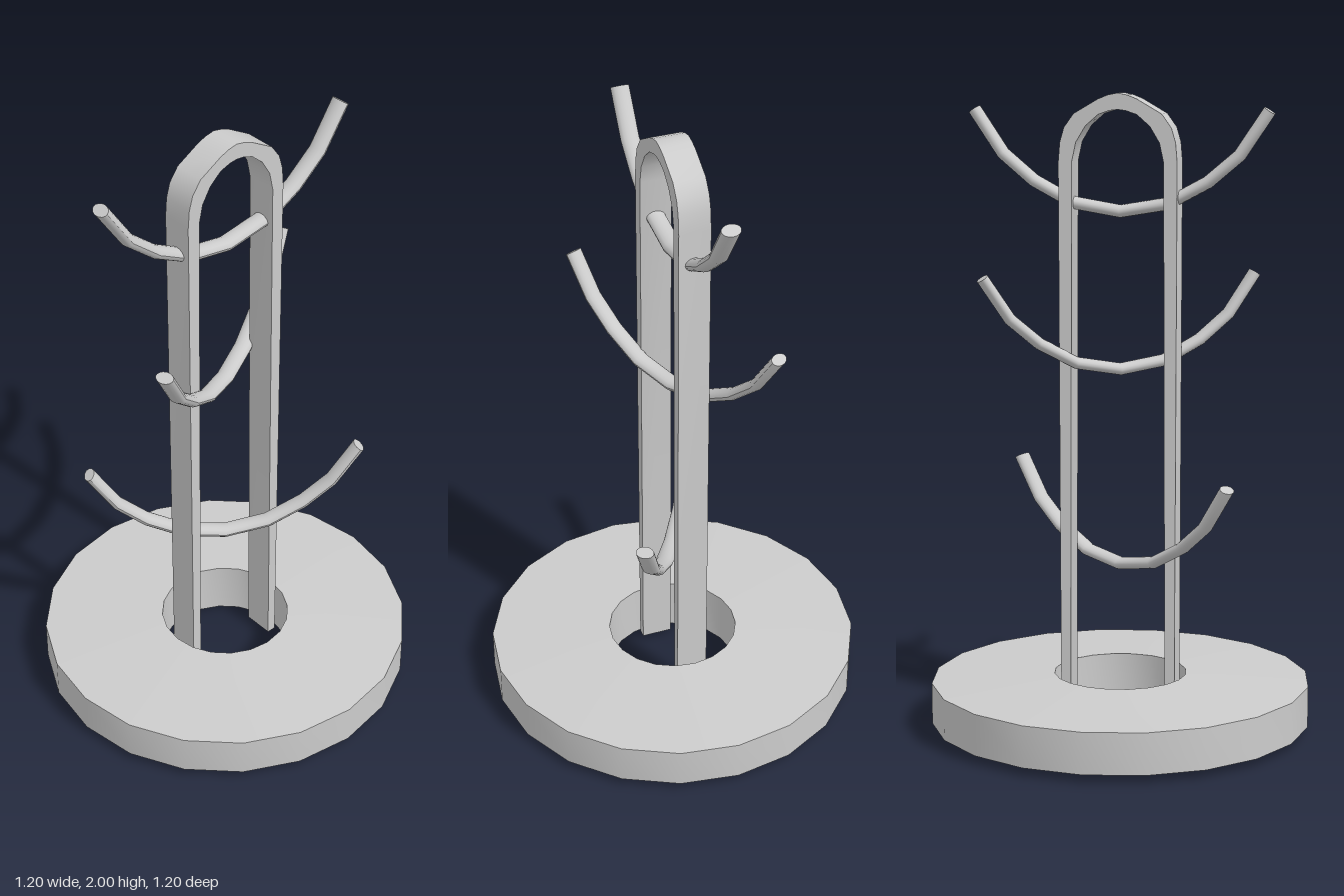
import * as THREE from 'three';
import { toCreasedNormals } from 'three/addons/utils/BufferGeometryUtils.js';

const material = new THREE.MeshStandardMaterial({ color: 0xcccccc });

function part(name, geometry) {
  const mesh = new THREE.Mesh(geometry, material);
  mesh.name = name;
  return mesh;
}

const points = (list) => list.map(([x, y]) => new THREE.Vector2(x, y));
const mirrored = (list) => list.map(([x, y]) => [-x, y]).reverse();

// Heavy ring, slightly domed above and below
function createBase() {
  const profile = points([[0.21, 0], [0.6, 0.025], [0.6, 0.155], [0.21, 0.175], [0.21, 0]]);
  return part('base', toCreasedNormals(new THREE.LatheGeometry(profile, 20), 0.5));
}

// Flat strip bent into a tall hairpin arch
function createArch() {
  const outer = [[0.182, 0.015], [0.185, 1.79], [0.18, 1.85], [0.167, 1.895], [0.137, 1.937], [0.06, 1.982], [0.03, 1.994]];
  const inner = [[0.025, 1.947], [0.06, 1.935], [0.1, 1.9], [0.13, 1.85], [0.143, 1.79], [0.152, 0.015]];
  const outline = [...outer, [0, 2], ...mirrored(outer), ...mirrored(inner), [0, 1.95], ...inner];
  const geometry = new THREE.ExtrudeGeometry(new THREE.Shape(points(outline)), { depth: 0.1, bevelEnabled: false });
  geometry.translate(0, 0, -0.05);
  return part('arch', toCreasedNormals(geometry, 0.6));
}

// Oval rod bent along an upturned curve: each ring of a cylinder is moved onto the path
function createArmGeometry() {
  const half = [[0.46, 0.31], [0.37, 0.175], [0.272, 0.092], [0.148, 0.025]];
  const path = points([...mirrored(half).reverse(), [0, 0], ...half.slice().reverse()]);
  const last = path.length - 1;
  const geometry = new THREE.CylinderGeometry(1, 1, 1, 16, last);
  const position = geometry.attributes.position;
  for (let i = 0; i < position.count; i++) {
    const row = Math.round((position.getY(i) + 0.5) * last);
    const tangent = path[Math.min(row + 1, last)].clone().sub(path[Math.max(row - 1, 0)]).normalize();
    const offset = position.getX(i) * 0.02;
    position.setXYZ(
      i,
      path[row].x + tangent.y * offset,
      path[row].y - tangent.x * offset,
      position.getZ(i) * 0.03
    );
  }
  geometry.computeVertexNormals();
  return geometry;
}

export function createModel() {
  const model = new THREE.Group();
  model.name = 'mugTree';
  model.add(createBase(), createArch());

  // Three arms, fanned around the upright
  const armGeometry = createArmGeometry();
  const arms = [
    ['upperArm', 1.638, 0, 1],
    ['middleArm', 1.147, 25, 0.945],
    ['lowerArm', 0.527, -31.5, 0.945],
  ];
  for (const [name, height, turn, size] of arms) {
    const arm = part(name, armGeometry);
    arm.position.y = height;
    arm.rotation.y = THREE.MathUtils.degToRad(turn);
    arm.scale.setScalar(size);
    model.add(arm);
  }
  return model;
}
